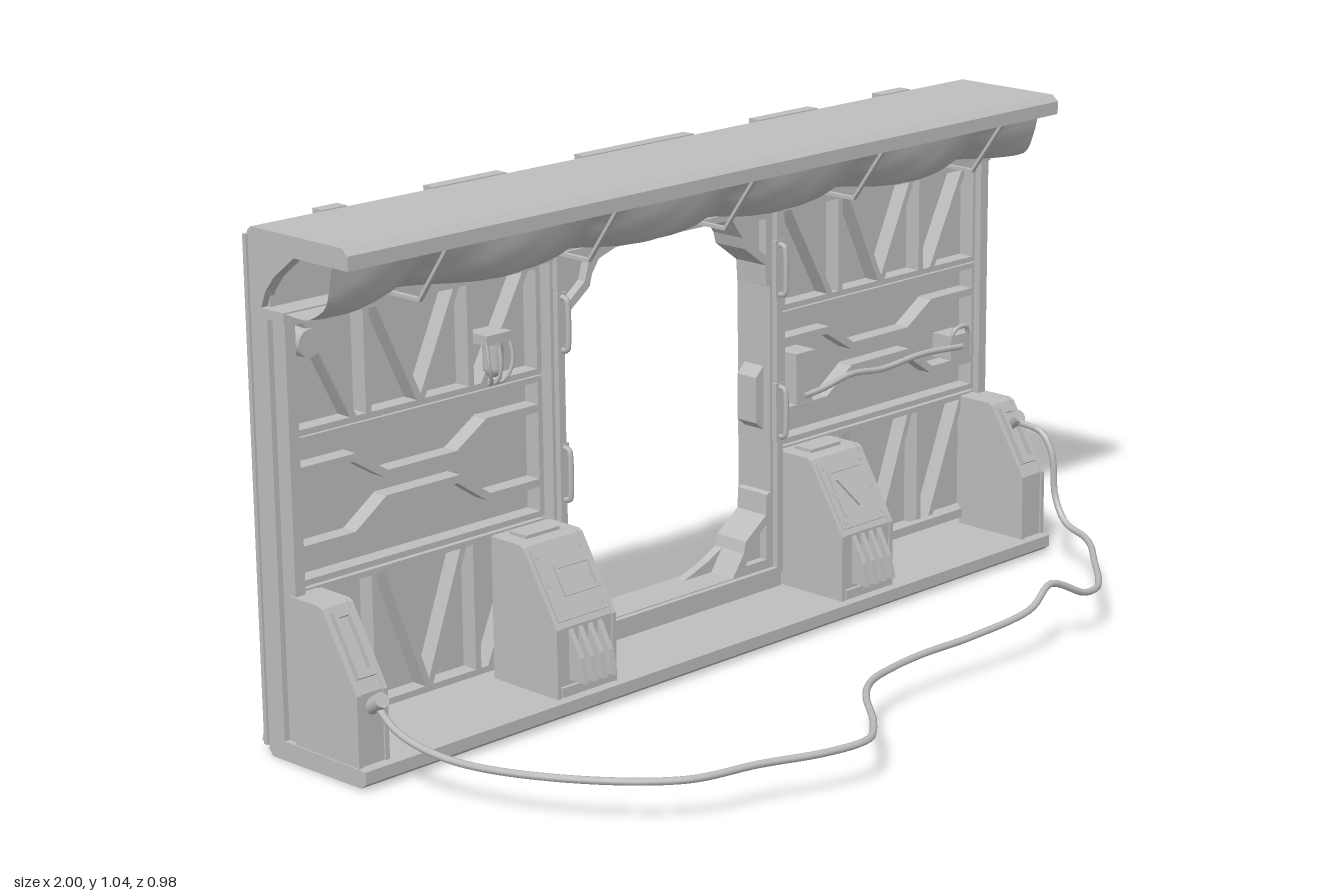
import * as THREE from 'three';

const grey = new THREE.MeshStandardMaterial({ color: 0xbdbdbd, side: THREE.DoubleSide });

export function createModel() {
  const model = new THREE.Group();
  const group = (name) => {
    const g = new THREE.Group();
    g.name = name;
    model.add(g);
    return g;
  };
  const add = (name, geo, parent = model) => {
    const m = new THREE.Mesh(geo, grey);
    m.name = name;
    parent.add(m);
    return m;
  };
  // box given by its limits
  const box = (name, x1, x2, y1, y2, z1, z2, parent) => {
    const m = add(name, new THREE.BoxGeometry(x2 - x1, y2 - y1, z2 - z1), parent);
    m.position.set((x1 + x2) / 2, (y1 + y2) / 2, (z1 + z2) / 2);
    return m;
  };
  const shapeOf = (pts) => new THREE.Shape(pts.map((p) => new THREE.Vector2(...p)));
  // outline in x,y pushed from z1 to z2
  const slab = (name, pts, z1, z2, parent, hole) => {
    const s = shapeOf(pts);
    if (hole) s.holes.push(shapeOf(hole));
    const geo = new THREE.ExtrudeGeometry(s, { depth: z2 - z1, bevelEnabled: false });
    return add(name, geo.translate(0, 0, z1), parent);
  };
  // outline in z,y pushed from x1 to x2
  const profile = (name, pts, x1, x2, parent) => {
    const geo = new THREE.ExtrudeGeometry(shapeOf(pts), { depth: x2 - x1, bevelEnabled: false });
    return add(name, geo.rotateY(-Math.PI / 2).translate(x2, 0, 0), parent);
  };
  const rect = (x1, x2, y1, y2) => [[x1, y1], [x2, y1], [x2, y2], [x1, y2]];
  // straight ribs along an x,y path
  const ribs = (name, pts, w, z1, z2, parent) => {
    for (let i = 1; i < pts.length; i++) {
      const [ax, ay] = pts[i - 1], [bx, by] = pts[i];
      const m = add(name, new THREE.BoxGeometry(Math.hypot(bx - ax, by - ay) + w * 0.5, w, z2 - z1), parent);
      m.position.set((ax + bx) / 2, (ay + by) / 2, (z1 + z2) / 2);
      m.rotation.z = Math.atan2(by - ay, bx - ax);
    }
  };
  const tube = (name, pts, r, parent, segs = 40) => {
    const curve = new THREE.CatmullRomCurve3(pts.map((p) => new THREE.Vector3(...p)));
    return add(name, new THREE.TubeGeometry(curve, segs, r, 7), parent);
  };

  // base and canopy
  profile('floor', [[-0.17, 0.015], [-0.185, 0.004], [-0.445, 0], [-0.456, 0.012], [-0.456, 0.04], [-0.17, 0.04]], -1, 1);
  profile('canopy', [[-0.17, 1.002], [-0.17, 1.03], [-0.185, 1.043], [-0.445, 1.043], [-0.456, 1.035], [-0.456, 1.002]], -1, 1);
  for (const [x, w] of [[-0.8, 0.06], [-0.46, 0.19], [0, 0.31], [0.44, 0.18], [0.78, 0.09]])
    box('canopyTab', x - w / 2, x + w / 2, 1.03, 1.045, -0.475, -0.445);

  // wall core and outer skin, both with the doorway cut out
  slab('wallCore', rect(-0.985, 0.985, 0.03, 1.005), -0.455, -0.415, model, rect(-0.31, 0.31, 0.085, 0.875));
  slab('outerSkin', [[-1, 0.018], [-0.32, 0.018], [-0.32, 0.855], [-0.31, 0.885], [-0.28, 0.9], [0.28, 0.9],
    [0.31, 0.885], [0.32, 0.855], [0.32, 0.018], [1, 0.018], [1, 1.025], [-1, 1.025]], -0.472, -0.462);
  box('skinSpacer', -0.99, -0.33, 0.03, 1.02, -0.463, -0.454);
  box('skinSpacer', 0.33, 0.99, 0.03, 1.02, -0.463, -0.454);
  box('headBeam', -1, 1, 0.872, 0.892, -0.42, -0.36);
  profile('rearFoot', [[-0.472, 0.018], [-0.49, 0.018], [-0.484, 0.04], [-0.472, 0.105]], -0.99, -0.92);

  // doorway frame, grab handles and gussets
  const door = group('doorway');
  slab('doorFrame', rect(-0.33, 0.33, 0.04, 0.893), -0.46, -0.365, door, rect(-0.297, 0.297, 0.09, 0.875));
  slab('doorTrim', rect(-0.322, 0.322, 0.075, 0.888), -0.37, -0.352, door, rect(-0.305, 0.305, 0.088, 0.877));
  for (const s of [-1, 1]) {
    for (const y of [0.38, 0.69]) {
      tube('grabHandle', [[s * 0.312, y, -0.355], [s * 0.312, y + 0.004, -0.337], [s * 0.312, y + 0.015, -0.334],
        [s * 0.312, y + 0.095, -0.334], [s * 0.312, y + 0.106, -0.337], [s * 0.312, y + 0.11, -0.355]], 0.006, door);
      box('handlePlate', s * 0.312 - 0.012, s * 0.312 + 0.012, y - 0.008, y + 0.118, -0.362, -0.35, door);
    }
    slab('jambLatch', [[s * 0.3, 0.39], [s * 0.275, 0.41], [s * 0.275, 0.51], [s * 0.3, 0.535]], -0.44, -0.385, door);
    for (const t of [-1, 1]) {
      const yc = t < 0 ? 0.088 : 0.877;
      const at = (x, y) => [s * x, yc - t * y];
      const outline = [at(0.3, 0), at(0.18, 0), at(0.215, 0.05), at(0.222, 0.075), at(0.283, 0.12), at(0.286, 0.165), at(0.3, 0.17)];
      const opening = [at(0.285, 0.02), at(0.222, 0.02), at(0.235, 0.062), at(0.285, 0.1)];
      slab('cornerGusset', outline, -0.415, -0.385, door);
      slab('gussetRim', outline, -0.45, -0.415, door, opening);
      slab('gussetRim', outline, -0.385, -0.365, door, opening);
    }
  }
  slab('headWedge', [[-0.24, 0.877], [-0.22, 0.805], [-0.16, 0.825], [0, 0.877]], -0.45, -0.43, door);
  slab('sillWedge', [[0.24, 0.088], [0.22, 0.14], [0.17, 0.115], [0.1, 0.09]], -0.45, -0.43, door);

  // ribbed wall panels, end posts and canopy brackets on both sides
  for (const s of [-1, 1]) {
    const side = group(s < 0 ? 'rightWallPanels' : 'leftWallPanels');
    const m = (pts) => pts.map(([x, y]) => [s * x, y]);
    const rib = (pts, w = 0.014, z = -0.378) => ribs('rib', m(pts), w, -0.417, z, side);
    for (const [lo, hi] of [[0.65, 0.865], [0.355, 0.635], [0.065, 0.338]])
      rib([[0.35, lo], [0.97, lo], [0.97, hi], [0.35, hi], [0.35, lo]], 0.012);
    for (const [lo, hi] of [[0.65, 0.865], [0.065, 0.338]]) {
      rib([[0.79, lo], [0.79, hi]]);
      rib([[0.53, lo], [0.53, hi]]);
      rib([[0.935, hi], [0.825, lo]]);
      rib([[0.76, hi], [0.66, lo], [0.56, hi]]);
      rib([[0.5, lo], [0.38, hi]]);
    }
    for (const [outer, inner] of [[0.575, 0.525], [0.42, 0.475]])
      rib([[0.97, outer], [0.83, outer], [0.75, inner], [0.57, inner], [0.49, outer], [0.35, outer]], 0.016);
    const x = (a, b) => (s > 0 ? [a, b] : [-b, -a]);
    box('endPost', ...x(0.978, 1), 0.04, 0.892, -0.456, -0.408, side);
    box('endPanel', ...x(0.975, 0.988), 0.04, 0.89, -0.41, -0.378, side);
    box('endTrim', ...x(0.972, 0.996), 0.04, 0.89, -0.378, -0.362, side);
    profile('canopyBracket', [[-0.456, 0.89], [-0.425, 0.89], [-0.41, 0.925], [-0.385, 0.955], [-0.322, 1.003], [-0.456, 1.003]], ...x(0.975, 1), side);
  }

  // fabric sagging between seams under the canopy
  const seams = [-1.13, -0.75, -0.315, 0.065, 0.45, 0.83, 1.21];
  const cloth = new THREE.PlaneGeometry(1.99, 1, 120, 12);
  const p = cloth.attributes.position;
  for (let i = 0; i < p.count; i++) {
    const x = p.getX(i), v = 0.5 - p.getY(i);
    const k = seams.findIndex((e) => e > x);
    const f = (x - seams[k - 1]) / (seams[k] - seams[k - 1]);
    const lump = 0.004 * Math.sin(x * 23 + v * 7) * Math.sin(v * 9 + x * 11);
    const sag = (0.008 + 0.048 * Math.pow(Math.max(0, Math.sin(Math.PI * f)), 0.6) + lump) * Math.sin(Math.PI * v);
    p.setXYZ(i, x, Math.max(0.886, 1.005 - 0.115 * v - 0.79 * sag), -0.22 - 0.15 * v + 0.61 * sag);
  }
  cloth.computeVertexNormals();
  add('canopyFabric', cloth);
  for (const x of seams.slice(1, -1))
    profile('fabricStrap', [[-0.178, 1.004], [-0.186, 1.004], [-0.268, 0.892], [-0.365, 0.892], [-0.365, 0.885], [-0.265, 0.885]], x - 0.005, x + 0.005);

  // sloping consoles beside the door and at both ends
  const body = [[-0.378, 0.042], [-0.192, 0.042], [-0.192, 0.185], [-0.285, 0.335], [-0.295, 0.34], [-0.378, 0.34]];
  const slope = Math.atan2(0.093, 0.15);
  const console_ = (name, x1, x2) => {
    const g = group(name);
    profile('consoleBody', body, x1 + 0.006, x2 - 0.006, g);
    for (const x of [x1, x2 - 0.01])
      profile('consoleCheek', body.map(([z, y]) => [z + 0.004, y]), x, x + 0.01, g);
    const face = new THREE.Group();
    face.position.set((x1 + x2) / 2, 0.26, -0.2385);
    face.rotation.x = -slope;
    g.add(face);
    return [g, face];
  };
  for (const s of [-1, 1]) {
    const [g, face] = console_(s < 0 ? 'rightDoorConsole' : 'leftDoorConsole', s < 0 ? -0.492 : 0.332, s < 0 ? -0.332 : 0.492);
    const cx = s * 0.412;
    box('topBox', cx - 0.045, cx + 0.045, 0.335, 0.347, -0.36, -0.31, g);
    slab('facePlate', rect(-0.068, 0.068, -0.075, 0.075), 0, 0.006, face);
    for (const x of [-0.058, 0.058]) for (const y of [-0.062, 0, 0.062])
      box('bolt', x - 0.004, x + 0.004, y - 0.004, y + 0.004, 0.005, 0.01, face);
    if (s < 0) slab('screenRim', rect(-0.03, 0.066, -0.03, 0.035), 0.005, 0.012, face, rect(-0.022, 0.058, -0.022, 0.027));
    else {
      slab('gauge', [[-0.035, 0.03], [0, -0.035], [0.035, 0.03]], 0.005, 0.012, face);
      ribs('gaugeRail', [[-0.05, -0.05], [-0.05, 0.05], [0.05, 0.05]], 0.006, 0.005, 0.011, face);
    }
    for (let i = 0; i < 4; i++) {
      const x = cx + (i - 1.5) * 0.026;
      profile('ventFin', [[-0.195, 0.075], [-0.148, 0.075], [-0.16, 0.125], [-0.195, 0.185]], x - 0.006, x + 0.006, g);
    }
    box('kickPlate', cx - 0.07, cx + 0.07, 0.045, 0.065, -0.194, -0.184, g);

    const [e, front] = console_(s < 0 ? 'rightEndConsole' : 'leftEndConsole', s < 0 ? -1 : 0.925, s < 0 ? -0.925 : 1);
    slab('socketFrame', rect(-0.022, 0.022, -0.06, 0.075), 0, 0.012, front, rect(-0.013, 0.013, -0.045, 0.062));
    const plug = add('cablePlug', new THREE.CylinderGeometry(0.016, 0.016, 0.04, 10), s < 0 ? e : front);
    if (s < 0) {
      plug.position.set(-0.96, 0.165, -0.18);
      plug.rotation.x = 1;
    } else {
      plug.position.set(0, 0.04, 0.015);
      plug.rotation.x = 1.5;
    }
  }
  box('floorGrille', 0.49, 0.92, 0.06, 0.08, -0.38, -0.36);

  // loose cable running across the ground
  tube('groundCable', [[-0.96, 0.17, -0.19], [-0.955, 0.12, -0.13], [-0.93, 0.088, -0.02], [-0.86, 0.086, 0.18],
    [-0.7, 0.086, 0.37], [-0.55, 0.088, 0.42], [-0.42, 0.088, 0.47], [-0.32, 0.088, 0.48], [-0.25, 0.088, 0.43],
    [-0.15, 0.088, 0.32], [-0.08, 0.088, 0.27], [0, 0.088, 0.25], [0.1, 0.09, 0.243], [0.25, 0.092, 0.25],
    [0.42, 0.108, 0.257], [0.51, 0.138, 0.238], [0.6, 0.1, 0.253], [0.66, 0.094, 0.24], [0.8, 0.09, 0.12],
    [0.92, 0.088, 0], [0.955, 0.1, -0.09], [0.965, 0.15, -0.127], [0.965, 0.24, -0.137], [0.963, 0.288, -0.165],
    [0.962, 0.3, -0.24]], 0.0075, model, 160);

  // wall hose with its two holders
  const hose = group('wallHose');
  tube('hose', [[0.4, 0.45, -0.365], [0.45, 0.455, -0.36], [0.55, 0.468, -0.365], [0.65, 0.46, -0.365],
    [0.78, 0.468, -0.365], [0.91, 0.462, -0.36]], 0.007, hose);
  box('hoseHolder', 0.375, 0.425, 0.435, 0.54, -0.415, -0.362, hose);
  box('holderCap', 0.37, 0.43, 0.53, 0.548, -0.415, -0.358, hose);
  box('hoseValve', 0.875, 0.94, 0.435, 0.49, -0.415, -0.36, hose);
  tube('valveHandle', [[0.88, 0.485, -0.365], [0.89, 0.505, -0.36], [0.925, 0.505, -0.36], [0.935, 0.485, -0.365]], 0.005, hose);

  // caged wall lamp
  const lamp = group('wallLamp');
  const bulb = add('lampBulb', new THREE.CapsuleGeometry(0.021, 0.05, 5, 12), lamp);
  bulb.position.set(-0.475, 0.71, -0.375);
  box('lampBase', -0.508, -0.442, 0.735, 0.755, -0.417, -0.355, lamp);
  for (const dx of [-0.03, 0, 0.03])
    tube('lampCage', [[-0.475 + dx, 0.745, -0.36], [-0.475 + dx, 0.69, -0.352], [-0.475 + dx * 0.5, 0.655, -0.365], [-0.475, 0.648, -0.4]], 0.004, lamp, 14);

  // round wall fitting
  const disc = add('roundFitting', new THREE.CylinderGeometry(0.028, 0.03, 0.04, 12));
  disc.rotation.x = Math.PI / 2;
  disc.position.set(-0.93, 0.82, -0.392);
  return model;
}
